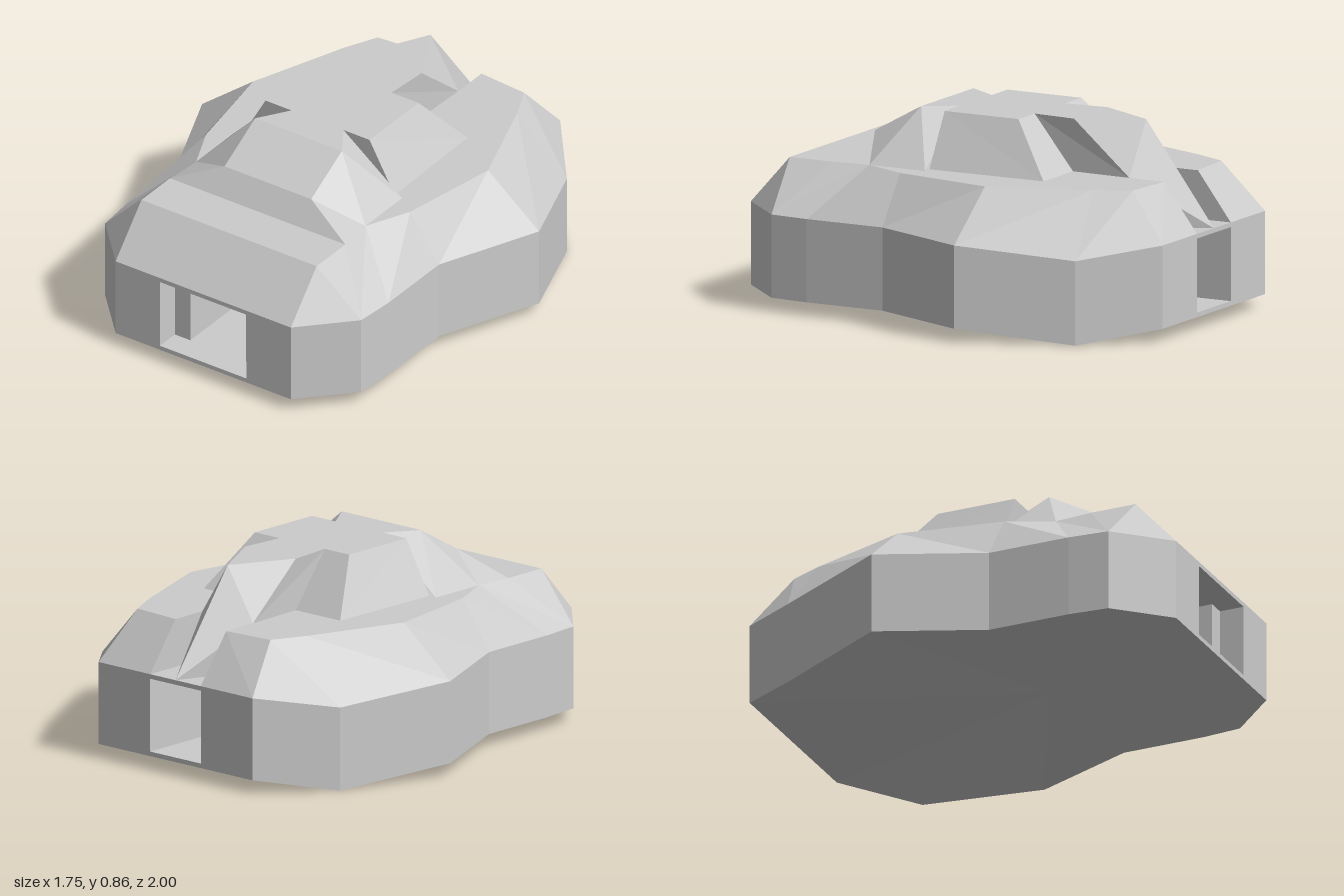
import * as THREE from 'three';

const material = new THREE.MeshStandardMaterial({ color: 0xcccccc, flatShading: true, side: THREE.DoubleSide });

// Makes a mesh from flat polygons, fanned into triangles that face away from
// (or, with inward, towards) a reference point; mirrored across x on request.
function facets(name, ref, polygons, { mirror = true, inward = false } = {}) {
  const positions = [];
  const centre = new THREE.Vector3(...ref);
  const addTriangle = (corners) => {
    const [a, b, c] = corners.map((p) => new THREE.Vector3(...p));
    const normal = b.clone().sub(a).cross(c.clone().sub(a));
    const middle = a.clone().add(b).add(c).divideScalar(3).sub(centre);
    const flip = (normal.dot(middle) < 0) !== inward;
    const order = flip ? [0, 2, 1] : [0, 1, 2];
    order.forEach((i) => positions.push(...corners[i]));
    if (mirror) [...order].reverse().forEach((i) => {
      const [x, y, z] = corners[i];
      positions.push(-x, y, z);
    });
  };
  for (const poly of polygons) {
    for (let i = 1; i < poly.length - 1; i++) addTriangle([poly[0], poly[i], poly[i + 1]]);
  }
  const geometry = new THREE.BufferGeometry();
  geometry.setAttribute('position', new THREE.Float32BufferAttribute(positions, 3));
  geometry.computeVertexNormals();
  const mesh = new THREE.Mesh(geometry, material);
  mesh.name = name;
  return mesh;
}

// Flat end wall with a rectangular doorway
function endWall(name, halfWidth, doorHalf, z) {
  const rect = (Type, w, y0, y1) => new Type([
    new THREE.Vector2(-w, y0), new THREE.Vector2(w, y0),
    new THREE.Vector2(w, y1), new THREE.Vector2(-w, y1),
  ]);
  const shape = rect(THREE.Shape, halfWidth, 0.06, 0.42);
  shape.holes.push(rect(THREE.Path, doorHalf, 0.08, 0.4));
  const mesh = new THREE.Mesh(new THREE.ShapeGeometry(shape), material);
  mesh.position.z = z;
  if (z < 0) mesh.rotation.y = Math.PI;
  mesh.name = name;
  return mesh;
}

export function createModel() {
  const group = new THREE.Group();
  const base = 0.06, eave = 0.42, deck = 0.63, roof = 0.86;

  // Half outlines, front to back: foot and top of the walls, and deck edge
  const plan = [[0.455, 1], [0.665, 0.78], [0.68, 0.6], [0.68, 0.23], [0.875, -0.23], [0.68, -0.71], [0.44, -1]];
  const foot = plan.map(([x, z], i) => [x, i === 5 ? 0 : base, z]);
  const rim = plan.map(([x, z], i) => [x, i === 5 ? 0.365 : eave, z]);
  const edge = [[0.455, 0.81], [0.455, 0.6], [0.44, 0.43], [0.53, 0.23], [0.61, -0.23], [0.45, -0.67], [0.38, -0.82], [0.145, -0.84]]
    .map(([x, z]) => [x, deck, z]);

  // Side walls
  const walls = [];
  for (let i = 0; i < 6; i++) walls.push([foot[i], foot[i + 1], rim[i + 1], rim[i]]);
  group.add(facets('sideWalls', [0, 0.25, 0], walls));
  group.add(endWall('frontWall', 0.455, 0.225, 1));
  group.add(endWall('backWall', 0.44, 0.145, -1));

  // Underside
  const under = [[0, base, 1], ...foot, [0, base, -1]];
  group.add(facets('underside', [0, 0.4, 0], under.slice(1).map((p, i) => [[0, base, 0.2], under[i], p])));

  // Sloped shoulders between walls and deck
  const slopes = [
    [[0, eave, 1], rim[0], edge[0], [0, deck, 0.81]],
    [rim[0], rim[1], edge[0]],
    [edge[0], rim[1], edge[1]],
    [rim[6], [0.145, eave, -1], edge[7], edge[6]],
  ];
  for (let i = 1; i < 6; i++) slopes.push([rim[i], rim[i + 1], edge[i + 1], edge[i]]);
  group.add(facets('shoulders', [0, 0.2, 0], slopes));

  // Deck, notched at the back for the channel
  group.add(facets('deck', [0, 0, 0], [
    [[0, deck, 0], [0, deck, 0.81], ...edge.slice(0, 6), [0.145, deck, -0.67], [0, deck, -0.67]],
    [edge[5], edge[6], edge[7], [0.145, deck, -0.67]],
  ]));

  // Passage running through the body, stepped in behind the front doorway
  const section = (w, z) => [[-w, 0.08, z], [w, 0.08, z], [w, 0.4, z], [-w, 0.4, z]];
  const rings = [section(0.225, 1), section(0.225, 0.89), section(0.145, 0.89), section(0.145, -1)];
  const passage = [];
  for (let r = 0; r < 3; r++) {
    for (let i = 0; i < 4; i++) {
      const j = (i + 1) % 4;
      passage.push([rings[r][i], rings[r][j], rings[r + 1][j], rings[r + 1][i]]);
    }
  }
  group.add(facets('passage', [0, 0.24, 0.95], passage, { mirror: false, inward: true }));

  // Central turret block
  const tf = [0.27, roof, 0.16], tb = [0.27, roof, -0.2], bf = [0.4, deck, 0.16], bb = [0.39, deck, -0.39];
  group.add(facets('turretBlock', [0, 0.5, 0], [
    [[0, roof, 0.16], tf, tb, [0, roof, -0.2]],
    [tf, bf, bb, tb],
    [tb, bb, [0, deck, -0.39], [0, roof, -0.2]],
    [[0, roof, 0.16], tf, bf, [0, deck, 0.16]],
  ]));

  // Turret prow with a two-step front
  const a = [0.225, roof, 0.3], b = [0.225, 0.735, 0.525], c = [0.225, deck, 0.6];
  const d = [0.455, deck, 0.6], e = [0.44, deck, 0.43], f = [0.44, deck, 0.16], g = [0.135, roof, 0.16];
  group.add(facets('turretProw', [0, 0.3, 0.3], [
    [[0, roof, 0.3], a, g, [0, roof, 0.16]],
    [[0, roof, 0.3], a, b, [0, 0.735, 0.525]],
    [[0, 0.735, 0.525], b, c, [0, deck, 0.6]],
    [b, c, d], [b, d, e], [a, b, e], [a, e, f], [g, a, f],
  ]));

  // Rear fin tapering to a ridge that runs down to the back wall
  const h = [0.13, roof, -0.2], i = [0.145, roof, -0.4], j = [0.145, deck, -0.67];
  const apex = [0, roof, -0.67], toe = [0, eave, -1], root = [0.145, eave, -0.67];
  group.add(facets('rearFin', [0, 0.3, -0.5], [
    [[0, roof, -0.2], h, i, apex],
    [h, i, j, [0.13, deck, -0.2]],
    [apex, i, j, toe],
    [toe, j, root],
  ]));

  // Channel beside the fin
  group.add(facets('channelFloor', [0, 0, -0.8], [[toe, [0.145, eave, -1], root]]));
  group.add(facets('channelSides', [0.5, 0.5, -0.8], [[j, edge[7], [0.145, eave, -1], root]]));

  return group;
}
